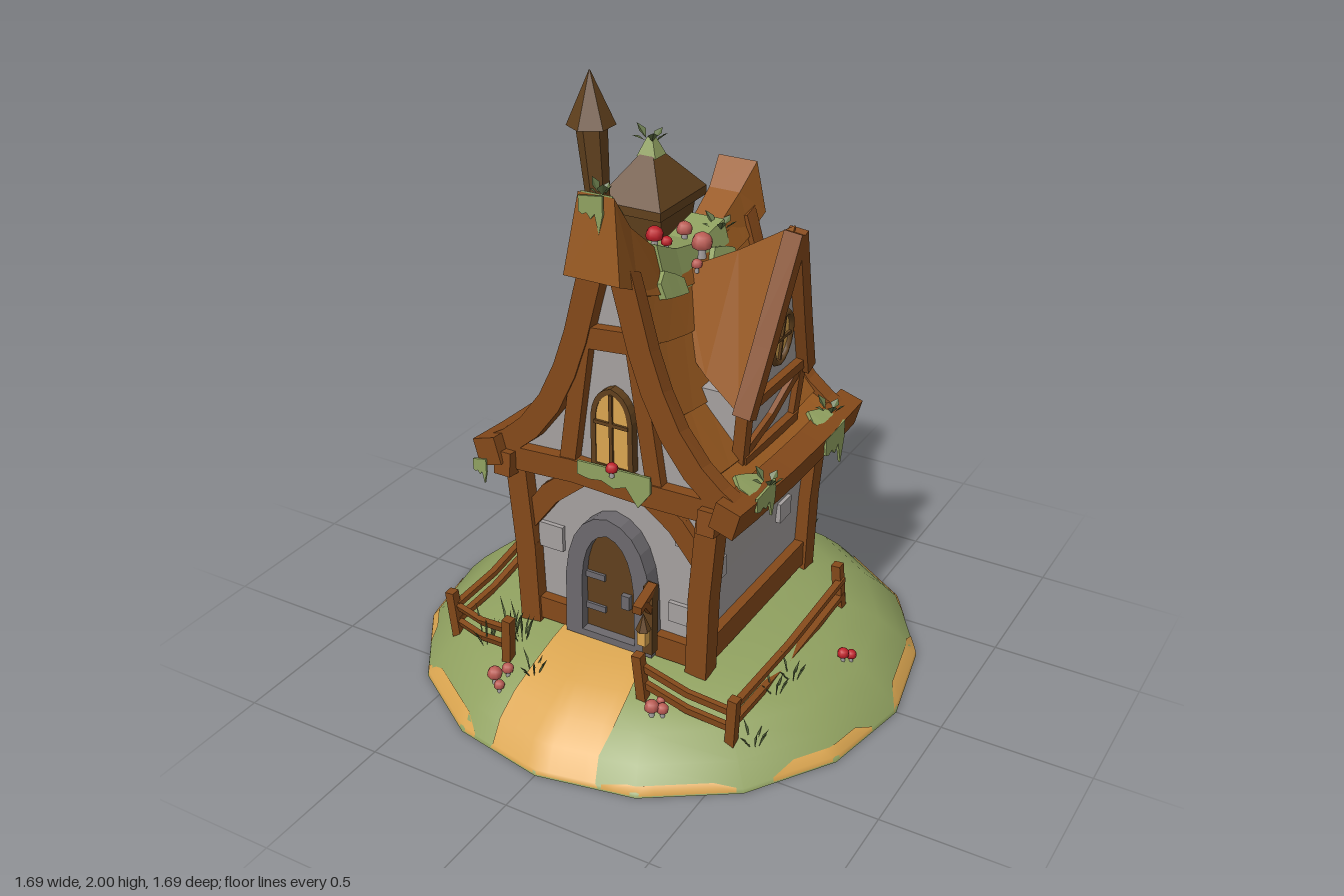
import * as THREE from 'three';

const mat = (name, color, side = THREE.FrontSide) => {
  const m = new THREE.MeshStandardMaterial({ color, side });
  m.name = name;
  return m;
};
const M = {
  roof: mat('roofWood', 0x97581f), beam: mat('beamWood', 0x84491a), dark: mat('darkWood', 0x60401d),
  wall: mat('plaster', 0xa5a09f), stone: mat('stone', 0x6c696d), sand: mat('sand', 0xdaa550, THREE.DoubleSide),
  moss: mat('moss', 0x90a160, THREE.DoubleSide), leaf: mat('leaf', 0x5f7043, THREE.DoubleSide),
  red: mat('redCap', 0xbd1f28), pink: mat('pinkCap', 0xb85a52),
};
const V = (a) => new THREE.Vector3(...a);
const flat = (g) => { g = g.index ? g.toNonIndexed() : g; g.computeVertexNormals(); return g; };

// Solid through equal-length rings of points, flat shaded, capped, always facing outward
function loft(rings) {
  const tris = [], n = rings[0].length, first = rings[0], last = rings[rings.length - 1];
  for (let k = 0; k + 1 < rings.length; k++) for (let i = 0; i < n; i++) {
    const a = rings[k], b = rings[k + 1], j = (i + 1) % n;
    tris.push([a[i], a[j], b[j]], [a[i], b[j], b[i]]);
  }
  for (let lo = 0, hi = n - 1; lo + 1 < hi; hi--) {
    tris.push([first[hi], first[lo + 1], first[lo]], [last[lo], last[lo + 1], last[hi]]);
    lo++;
    if (lo + 1 < hi) tris.push([first[hi], first[hi - 1], first[lo]], [last[lo], last[hi - 1], last[hi]]);
  }
  const vol = tris.reduce((s, [a, b, c]) => s + V(a).dot(V(b).cross(V(c))), 0);
  if (vol < 0) tris.forEach((t) => t.reverse());
  const g = new THREE.BufferGeometry();
  g.setAttribute('position', new THREE.Float32BufferAttribute(tris.flat(2), 3));
  g.computeVertexNormals();
  return g;
}

// Ground height on the sixteen-sided mound
const DOME = [[0.845, 0], [0.842, 0.015], [0.785, 0.075], [0.71, 0.14], [0.6, 0.19], [0.5, 0.215], [0.35, 0.24], [0, 0.25]];
const STEP = Math.PI / 8;
const facet = (a) => Math.cos(a - (Math.floor(a / STEP) + 0.5) * STEP) / Math.cos(STEP / 2);
function domeY(r) {
  const i = Math.max(1, DOME.findIndex((p) => p[0] <= r)), [r0, y0] = DOME[i - 1], [r1, y1] = DOME[i];
  return y0 + (y1 - y0) * (r - r0) / (r1 - r0);
}
const ground = (x, z) => domeY(Math.min(0.845, Math.hypot(x, z) * facet(Math.atan2(x, z))));

// Swooping roof surface: t runs from eave to ridge
const PROFILE = new THREE.CatmullRomCurve3([[0.44, 0.855, 0], [0.335, 0.925, 0], [0.215, 1.08, 0], [0.13, 1.29, 0], [0.085, 1.46, 0], [0.06, 1.55, 0]].map(V));
function roofPt(side, t, z, lift = 0) {
  const p = PROFILE.getPoint(t), d = PROFILE.getTangent(t), q = ((z + 0.05) / 0.47) ** 2;
  const y = p.y - d.x * lift;
  return [0.02 + side * (p.x + d.y * lift), 0.82 + 0.02 * q + (y - 0.84) * (0.87 + 0.13 * q), z];
}

export function createModel() {
  const model = new THREE.Group();
  model.name = 'cottage';
  const add = (name, geo, m, parent = model) => {
    const mesh = new THREE.Mesh(geo, m);
    mesh.name = name;
    parent.add(mesh);
    return mesh;
  };
  const box = (name, m, [x, y, z], [w, h, d], parent) => {
    const b = add(name, new THREE.BoxGeometry(w, h, d), m, parent);
    b.position.set(x, y, z);
    return b;
  };
  const beam = (name, m, pts, w, d, parent) => {
    for (let i = 0; i + 1 < pts.length; i++) {
      const a = V(pts[i]), dir = V(pts[i + 1]).sub(a), len = dir.length();
      const b = add(name, new THREE.BoxGeometry(w, len + (pts.length > 2 ? w * 0.3 : 0), d), m, parent);
      b.position.copy(a).addScaledVector(dir, 0.5);
      b.quaternion.setFromUnitVectors(new THREE.Vector3(0, 1, 0), dir.normalize());
    }
  };
  const plate = (name, m, shape, depth, z, parent) => {
    const p = add(name, new THREE.ExtrudeGeometry(shape, { depth, bevelEnabled: false, curveSegments: 5 }), m, parent);
    p.position.z = z;
    return p;
  };

  // Mound with underside, sandy path and thin sandy rim
  add('mound', new THREE.LatheGeometry(DOME.map(([r, y]) => new THREE.Vector2(r, y)), 16), M.moss);
  add('moundUnderside', new THREE.CircleGeometry(0.845, 16).rotateX(Math.PI / 2), M.moss);
  const groundPatch = (name, rows) => {
    const n = 10, pos = [], idx = [];
    rows.forEach(([r, a0, a1], k) => {
      for (let i = 0; i <= n; i++) {
        const a = a0 + (a1 - a0) * i / n, rr = r / facet(a);
        pos.push(rr * Math.sin(a), domeY(r) + 0.006, rr * Math.cos(a));
        const c = k * (n + 1) + i;
        if (k && i < n) idx.push(c - n - 1, c, c + 1, c - n - 1, c + 1, c - n);
      }
    });
    const g = new THREE.BufferGeometry();
    g.setAttribute('position', new THREE.Float32BufferAttribute(pos, 3));
    g.setIndex(idx);
    g.computeVertexNormals();
    add(name, g, M.sand);
  };
  groundPatch('path', [[0.36, -0.18, 0.1], [0.45, -0.18, 0.12], [0.5, -0.18, 0.16], [0.6, -0.18, 0.18], [0.71, -0.19, 0.19], [0.785, -0.2, 0.18],
    [0.842, -0.19, 0.2], [0.845, -0.2, 0.21]].map(([r, l, w]) => [r, l / r, w / r]));
  for (let i = 0; i < 9; i++) {
    const a = 0.26 + i * 0.65, b = a + 0.5;
    groundPatch('rimPatch', [[0.83 - 0.01 * (i % 3), a + 0.1, b - 0.08], [0.842, a, b], [0.845, a, b]]);
  }

  // Lower walls, corner posts, sills and wall stones
  const rect = (y, w) => [[-w + 0.01, y, 0.36], [w + 0.01, y, 0.36], [w + 0.01, y, -0.33], [-w + 0.01, y, -0.33]];
  add('lowerWalls', loft([rect(0.2, 0.3), rect(0.5, 0.315), rect(0.84, 0.345)]), M.wall);
  for (const s of [-1, 1]) {
    for (const z of [0.37, -0.34]) {
      beam('cornerPost', M.beam, [[0.01 + s * 0.31, 0.22, z], [0.01 + s * 0.32, 0.5, z], [0.01 + s * 0.35, 0.84, z]], 0.075, 0.07);
    }
    box('sideSill', M.beam, [0.01 + s * 0.31, 0.285, 0.015], [0.06, 0.09, 0.72]);
    beam('wallPlate', M.beam, [[0.01 + s * 0.365, 0.81, 0.44], [0.01 + s * 0.365, 0.775, 0.15], [0.01 + s * 0.365, 0.77, -0.15], [0.01 + s * 0.365, 0.79, -0.42]], 0.06, 0.08);
    [[0.15, 0.69], [-0.17, 0.53], [0.29, 0.55]].forEach(([z, y]) => box('wallStone', M.wall, [0.01 + s * (0.315 + (y - 0.5) * 0.088), y, z], [0.03, 0.07, 0.08]));
  }
  box('frontSill', M.beam, [-0.21, 0.27, 0.37], [0.16, 0.08, 0.05]);
  box('frontSill', M.beam, [0.24, 0.27, 0.37], [0.14, 0.08, 0.05]);
  box('backSill', M.beam, [0.01, 0.28, -0.34], [0.62, 0.09, 0.05]);
  [[-0.23, 0.54, 0.36, 0.09], [0.24, 0.4, 0.36, 0.07], [0.26, 0.68, 0.36, 0.06], [-0.15, 0.38, -0.33, 0.08], [0.18, 0.6, -0.33, 0.07]].forEach(
    ([x, y, z, w]) => box('wallStone', M.wall, [x, y, z], [w, w, 0.03]));

  // Main roof slopes in overlapping courses, barge boards and eave beams
  const ends = [0, 0.2, 0.42, 0.64, 0.83, 1], zs = [0.38, 0.28, 0.17, 0.06, -0.05, -0.16, -0.27, -0.34];
  for (const s of [-1, 1]) {
    add('roofSlope', loft(zs.map((z) => {
      const outer = [], inner = [];
      for (let k = 0; k < 5; k++) [[ends[k], 0.015], [ends[k + 1] - 0.002, 0.005]].forEach(([t, l]) => {
        outer.push(roofPt(s, t, z, l));
        inner.unshift(roofPt(s, t, z, -0.025));
      });
      return outer.concat(inner);
    })), M.roof);
    for (const [z0, z1] of [[0.355, 0.415], [-0.31, -0.365]]) {
      add('bargeBoard', loft([0, 0.12, 0.25, 0.38, 0.5, 0.62, 0.75, 0.88, 1].map((t) =>
        [roofPt(s, t, z0, 0.025), roofPt(s, t, z1, 0.025), roofPt(s, t, z1, -0.055), roofPt(s, t, z0, -0.055)])), M.beam);
    }
    add('eaveBeam', loft([0.46, 0.3, 0.1, -0.1, -0.27, -0.41].map((z) => {
      const [x, y] = roofPt(s, 0, z);
      return [[x + s * 0.035, y + 0.02], [x + s * 0.01, y - 0.07], [x - s * 0.07, y - 0.045], [x - s * 0.045, y + 0.045]].map((p) => [...p, z]);
    })), M.beam);
  }

  // Ridge cap with upturned ends, a mossy saddle and mossy tip
  const cap = (rows, g = 0) => loft(rows.map(([zt, zb, yt, yb, wt, wb]) =>
    [[0.02 - wt - g, yt + g, zt], [0.02 + wt + g, yt + g, zt], [0.02 + wb + g, yb, zb], [0.02 - wb - g, yb, zb]]));
  const saddle = [[0.22, 0.22, 1.55, 1.42, 0.05, 0.085], [0.1, 0.1, 1.495, 1.38, 0.048, 0.082], [-0.05, -0.05, 1.465, 1.36, 0.048, 0.08], [-0.2, -0.2, 1.49, 1.37, 0.05, 0.085]];
  add('ridgeCap', cap([[0.455, 0.49, 1.78, 1.53, 0.06, 0.095], [0.36, 0.38, 1.66, 1.48, 0.055, 0.09], ...saddle,
    [-0.31, -0.32, 1.55, 1.41, 0.055, 0.09], [-0.4, -0.41, 1.63, 1.46, 0.07, 0.1]]), M.roof);
  add('ridgeMoss', cap(saddle, 0.008), M.moss);
  add('ridgeTipMoss', loft([[0.455, 1.78], [0.4, 1.712]].map(([z, y]) => [[-0.03, y + 0.005, z], [0.075, y + 0.005, z], [0.075, y - 0.003, z], [-0.03, y - 0.003, z]])), M.moss);

  // Gable walls and timber framing, front and back
  const gable = new THREE.Shape();
  for (const s of [-1, 1]) for (let i = 0; i <= 8; i++) {
    const [x, y] = roofPt(s, s < 0 ? i / 8 : 1 - i / 8, 0.37, -0.03);
    if (s < 0 && i === 0) gable.moveTo(x, y); else gable.lineTo(x, y);
  }
  const backGable = plate('backGable', M.wall, gable, 0.03, -0.335);
  backGable.scale.y = 0.95;
  backGable.position.y = 0.04;
  plate('frontGable', M.wall, gable, 0.03, 0.345);
  for (const [z, top] of [[0.385, 1.31], [-0.345, 1.2]]) {
    beam('tieBeam', M.beam, [[-0.36, 0.82, z], [-0.12, 0.835, z], [0.15, 0.825, z], [0.38, 0.83, z]], 0.08, 0.06);
    beam('collarBeam', M.beam, [[-0.09, top - 0.01, z], [0.13, top + 0.01, z]], 0.07, 0.05);
    for (const s of [-1, 1]) beam('gableStrut', M.beam, [[0.02 + s * 0.09, top - 0.02, z], [0.02 + s * 0.155, 0.86, z]], 0.055, 0.05);
  }
  beam('frontBrace', M.beam, [[-0.31, 0.59, 0.37], [-0.22, 0.71, 0.37], [-0.1, 0.81, 0.37]], 0.07, 0.04);
  beam('frontBrace', M.beam, [[0.33, 0.62, 0.37], [0.24, 0.73, 0.37], [0.13, 0.81, 0.37]], 0.07, 0.04);
  beam('backBrace', M.beam, [[-0.29, 0.32, -0.34], [0, 0.53, -0.34], [0.32, 0.78, -0.34]], 0.055, 0.035);
  beam('backBrace', M.beam, [[0.3, 0.32, -0.34], [0.03, 0.57, -0.34], [-0.31, 0.78, -0.34]], 0.055, 0.03);

  // Door, arched stone frame and front window
  const arch = (Type, cx, w, y0, shoulder, top) => {
    const s = new Type();
    s.moveTo(cx - w, y0).lineTo(cx + w, y0).lineTo(cx + w * 0.97, shoulder);
    s.quadraticCurveTo(cx + w * 0.85, top - 0.015, cx, top).quadraticCurveTo(cx - w * 0.85, top - 0.015, cx - w * 0.97, shoulder);
    return s;
  };
  const framed = (name, m, fill, depth, z, [cx, w, y0, sh, top], b) => {
    const outer = arch(THREE.Shape, cx, w, y0, sh, top);
    outer.holes.push(arch(THREE.Path, cx, w - b, y0 + b * 0.4, sh, top - b));
    plate(name + 'Frame', m, outer, depth, z);
    plate(name, fill, arch(THREE.Shape, cx, w - b * 0.8, y0, sh, top - b * 0.8), 0.015, z + 0.012);
  };
  framed('door', M.stone, M.dark, 0.06, 0.36, [0.01, 0.16, 0.235, 0.46, 0.7], 0.062);
  framed('frontWindow', M.dark, M.sand, 0.03, 0.375, [0.025, 0.075, 0.88, 1.05, 1.15], 0.018);
  box('windowBar', M.dark, [0.025, 1.01, 0.405], [0.012, 0.24, 0.01]);
  box('windowBar', M.dark, [0.025, 1.03, 0.405], [0.12, 0.012, 0.01]);
  for (const y of [0.34, 0.46]) box('doorHinge', M.stone, [-0.055, y, 0.39], [0.08, 0.022, 0.012]);
  box('doorHandle', M.stone, [0.065, 0.4, 0.395], [0.03, 0.05, 0.02]);

  // Hanging lantern
  beam('lanternPost', M.dark, [[0.17, 0.27, 0.43], [0.175, 0.52, 0.43]], 0.035, 0.035);
  beam('lanternArm', M.beam, [[0.175, 0.51, 0.42], [0.19, 0.495, 0.54]], 0.03, 0.03);
  beam('lanternArm', M.beam, [[0.175, 0.42, 0.43], [0.19, 0.5, 0.5]], 0.02, 0.02);
  box('lanternGlow', M.sand, [0.195, 0.385, 0.51], [0.03, 0.055, 0.03]);
  add('lanternHood', flat(new THREE.ConeGeometry(0.025, 0.06, 6)), M.dark).position.set(0.195, 0.44, 0.51);

  // Dormer roof, walls, framing and oval window
  add('dormerRoof', loft([[0.06, 1.41, 1.25, 0.06, 0.08], [0.25, 1.51, 1.15, 0.23, 0.16], [0.435, 1.625, 1.08, 0.37, 0.21]].map(([x, y, yb, xb, w]) =>
    [[x, y, 0.03], [xb, yb, 0.03 + w], [xb, yb, 0.03 - w]])), M.roof);
  box('dormerWall', M.wall, [0.25, 0.99, 0.025], [0.2, 0.24, 0.33]);
  const face = new THREE.Group();
  face.name = 'dormerFront';
  face.position.set(0.358, 1, 0.03);
  face.rotation.set(0.1, Math.PI / 2, 0, 'YXZ');
  model.add(face);
  plate('dormerGable', M.wall, new THREE.Shape([[-0.17, -0.1], [0.17, -0.1], [0.19, 0.08], [0, 0.58], [-0.19, 0.08]].map((p) => new THREE.Vector2(...p))), 0.02, -0.01, face);
  for (const s of [-1, 1]) {
    beam('dormerBargeBoard', M.beam, [[0, 0.6, 0.02], [s * 0.12, 0.28, 0.02], [s * 0.2, 0.08, 0.02]], 0.05, 0.06, face);
    beam('dormerPost', M.beam, [[s * 0.18, 0.1, 0.01], [s * 0.17, -0.12, 0.01]], 0.04, 0.04, face);
  }
  beam('dormerRail', M.beam, [[-0.18, 0.1, 0.015], [0.18, 0.1, 0.015]], 0.035, 0.04, face);
  beam('dormerRail', M.beam, [[-0.18, -0.1, 0.015], [0.18, -0.1, 0.015]], 0.045, 0.04, face);
  beam('dormerBrace', M.beam, [[-0.16, -0.07, 0.012], [0, -0.02, 0.012], [0.17, 0.08, 0.012]], 0.035, 0.03, face);
  const oval = new THREE.Group();
  oval.name = 'ovalWindow';
  oval.position.set(0, 0.26, 0.018);
  oval.scale.set(0.7, 1, 1);
  face.add(oval);
  add('ovalPane', new THREE.CircleGeometry(0.085, 16), M.sand, oval);
  add('ovalFrame', new THREE.TorusGeometry(0.085, 0.013, 6, 16), M.dark, oval);
  box('ovalBar', M.dark, [0, 0, 0.004], [0.013, 0.17, 0.008], oval);
  box('ovalBar', M.dark, [0, 0, 0.004], [0.17, 0.011, 0.008], oval);

  // Wooden tower with pyramid roof
  const square = (name, m, y0, h0, y1, h1, dz = 1) => {
    const g = flat(new THREE.CylinderGeometry(h1 * Math.SQRT2, h0 * Math.SQRT2, y1 - y0, 4).rotateY(Math.PI / 4));
    add(name, g.scale(1, 1, dz), m).position.set(-0.155, (y0 + y1) / 2, -0.148);
  };
  square('towerFoot', M.stone, 0.98, 0.075, 1.12, 0.065);
  square('towerStem', M.dark, 1.1, 0.055, 1.26, 0.055);
  square('towerBody', M.dark, 1.25, 0.07, 1.54, 0.1, 1.1);
  square('towerEave', M.dark, 1.53, 0.118, 1.56, 0.118, 1.25);
  square('towerRoof', M.dark, 1.56, 0.118, 1.71, 0.012, 1.25);
  square('towerMoss', M.moss, 1.685, 0.034, 1.745, 0.01);

  // Stove pipe with conical hood
  const hex = (name, r0, r1, a, b) => {
    const d = V(b).sub(V(a)), p = add(name, flat(new THREE.CylinderGeometry(r1, r0, d.length(), 6)), M.dark);
    p.position.copy(V(a)).addScaledVector(d, 0.5);
    p.quaternion.setFromUnitVectors(new THREE.Vector3(0, 1, 0), d.normalize());
  };
  hex('pipe', 0.028, 0.05, [-0.205, 1.4, 0.065], [-0.24, 1.84, 0.065]);
  hex('pipeElbow', 0.03, 0.03, [-0.08, 1.37, 0.065], [-0.215, 1.425, 0.065]);
  hex('pipeHood', 0.077, 0.002, [-0.24, 1.83, 0.065], [-0.242, 2, 0.065]);

  // Fences
  for (const line of [[[-0.59, -0.28], [-0.52, 0.1], [-0.55, 0.47], [-0.28, 0.57]], [[0.54, -0.21], [0.51, 0.52], [0.22, 0.55]]]) {
    const posts = line.map(([x, z]) => [x, ground(x, z), z]);
    posts.forEach(([x, y, z], i) => {
      beam('fencePost', M.beam, [[x, y - 0.04, z], [x + (i % 2 ? 0.015 : -0.015), y + 0.16, z + 0.01]], 0.032, 0.032);
      const q = posts[i + 1];
      if (q) for (const h of [0.04, 0.1]) beam('fenceRail', M.beam, [[x, y + h, z], [(x + q[0]) / 2, (y + q[1]) / 2 + h - 0.01, (z + q[2]) / 2], [q[0], q[1] + h + 0.01, q[2]]], 0.024, 0.018);
    });
  }

  // Moss hanging on beams and lying on the roof
  const drape = (x, y, z, turn, w, h) => {
    const pts = [[-w, 0.02], [w, 0.03]];
    for (let i = 0; i <= 6; i++) pts.push([w - i * w / 3, i % 2 ? -h * (0.6 + 0.4 * Math.sin(i * 2)) : -h * 0.3]);
    const d = plate('hangingMoss', M.moss, new THREE.Shape(pts.map((p) => new THREE.Vector2(...p))), 0.008, z);
    d.position.set(x, y, z);
    d.rotation.y = turn;
  };
  const Q = Math.PI / 2;
  [[0.04, 0.865, 0.415, 0, 0.13, 0.09], [0.01, 1.755, 0.463, 0, 0.04, 0.09], [0.488, 0.86, 0.29, Q, 0.06, 0.09], [0.488, 0.83, -0.2, Q, 0.07, 0.12],
    [-0.45, 0.85, -0.2, -Q, 0.07, 0.1], [-0.43, 0.79, 0.458, 0, 0.025, 0.06], [0, 0.86, -0.375, 2 * Q, 0.09, 0.08]].forEach((d) => drape(...d));
  const roofMoss = (s, t0, t1, z0, z1) => add('roofMoss', loft([0, 0.3, 0.7, 1].map((k) => {
    const z = z0 + (z1 - z0) * k, a = t0 + (t1 - t0) * (k === 0.3 ? 0.8 : k === 0.7 ? 1 : 0.55);
    return [roofPt(s, t0, z, 0.03), roofPt(s, a, z, 0.026), roofPt(s, a, z, 0), roofPt(s, t0, z, 0)];
  })), M.moss);
  [[-1, 0, 0.2, -0.32, -0.14], [1, 0, 0.15, 0.22, 0.34], [1, 0, 0.15, -0.27, -0.17], [1, 0.74, 1, -0.2, -0.05], [1, 0.8, 1, 0.12, 0.26]].forEach((a) => roofMoss(...a));

  // Mushrooms
  const mushroom = (x, y, z, r, m) => {
    add('mushroomStem', new THREE.CylinderGeometry(r * 0.3, r * 0.4, r * 1.6, 6), M.wall).position.set(x, y + r * 0.6, z);
    const c = add('mushroomCap', new THREE.SphereGeometry(r, 8, 5, 0, 2 * Math.PI, 0, 2), m);
    c.position.set(x, y + r * 1.3, z);
  };
  [[-0.13, -0.59, 0.026], [-0.17, -0.58, 0.016], [-0.15, -0.52, 0.02], [0.27, 0.59, 0.024], [0.3, 0.575, 0.02], [0.28, 0.55, 0.015],
    [-0.27, 0.66, 0.025], [-0.24, 0.68, 0.018], [-0.24, 0.63, 0.02]].forEach(([x, z, r]) => mushroom(x, ground(x, z), z, r, M.pink));
  [[0.66, 0.03, 0.02], [0.68, 0.01, 0.018]].forEach(([x, z, r]) => mushroom(x, ground(x, z), z, r, M.red));
  [[0.02, 1.47, -0.05, 0.026, M.pink], [0.11, 1.45, 0, 0.034, M.pink], [0.12, 1.42, 0.05, 0.018, M.pink], [0.03, 1.52, 0.15, 0.028, M.red],
    [0.06, 1.51, 0.13, 0.018, M.red], [0.04, 0.87, 0.43, 0.02, M.red]].forEach((a) => mushroom(...a));

  // Grass tufts and leafy sprouts: fans of narrow bent blades
  const tuft = (name, x, y, z, n, h, spread, w) => {
    const pos = [];
    for (let i = 0; i < n; i++) {
      const a = i * 2.4, c = Math.cos(a), s = Math.sin(a), k = h * (0.7 + 0.3 * Math.sin(i * 5)), o = spread * 0.35;
      const root = [x + c * o, y, z + s * o], tip = [x + c * spread, y + k, z + s * spread];
      const mid = (e) => [x + c * spread * 0.6 - s * e, y + k * 0.6, z + s * spread * 0.6 + c * e];
      pos.push(...root, ...tip, ...mid(w), ...root, ...mid(-w), ...tip);
    }
    const g = new THREE.BufferGeometry();
    g.setAttribute('position', new THREE.Float32BufferAttribute(pos, 3));
    g.computeVertexNormals();
    add(name, g, M.leaf);
  };
  [[-0.4, 0.52], [-0.33, 0.48], [-0.28, 0.49], [0.57, 0.22], [0.55, 0.3], [0.17, -0.72], [0.05, -0.48], [0.57, 0.48], [-0.16, 0.6]].forEach(([x, z], i) =>
    tuft('grassTuft', x, ground(x, z) - 0.01, z, 7, i < 3 ? 0.15 : 0.09, 0.045, 0.004));
  [[-0.155, 1.735, -0.148, 0.06], [0.03, 1.78, 0.44, 0.035], [0.48, 0.88, 0.25, 0.05], [0.45, 0.89, -0.25, 0.05], [-0.38, 0.91, -0.2, 0.05], [0.08, 1.48, -0.17, 0.06]].forEach(
    ([x, y, z, r]) => tuft('sprout', x, y, z, 5, 0.045, r, 0.016));
  return model;
}
